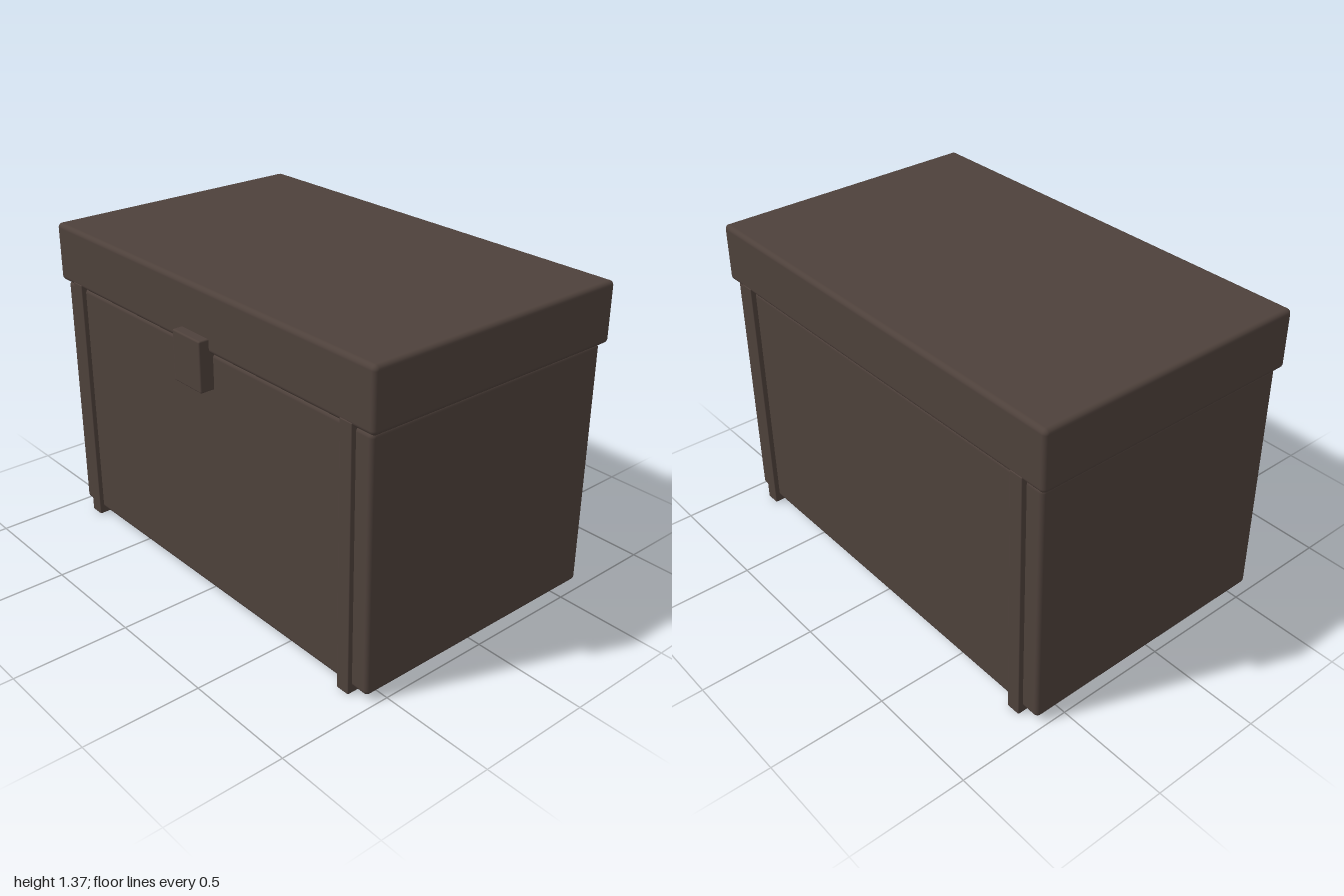
import * as THREE from 'three';
import { RoundedBoxGeometry } from 'three/addons/geometries/RoundedBoxGeometry.js';

export function createModel() {
  const group = new THREE.Group();
  const darkBrown = new THREE.MeshStandardMaterial({ color: 0x4e413b });
  darkBrown.name = 'darkBrown';

  // Soft-edged box given by its extents on each axis
  const block = (name, [x0, x1], [y0, y1], [z0, z1], radius) => {
    const mesh = new THREE.Mesh(
      new RoundedBoxGeometry(x1 - x0, y1 - y0, z1 - z0, 3, radius), darkBrown);
    mesh.position.set((x0 + x1) / 2, (y0 + y1) / 2, (z0 + z1) / 2);
    mesh.name = name;
    group.add(mesh);
  };

  // Chest body and overhanging lid
  block('body', [-0.975, 0.975], [0.026, 1.112], [-0.62, 0.58], 0.02);
  block('lid', [-1, 1], [1.114, 1.37], [-0.64, 0.598], 0.02);

  // Bands wrapping the body front to back, also serving as feet
  for (const side of [-1, 1]) {
    const x = side * 0.862;
    block(side > 0 ? 'leftBand' : 'rightBand',
      [x - 0.032, x + 0.032], [0, 1.13], [-0.642, 0.6], 0.004);
  }

  // Front latch
  block('latch', [-0.088, 0.088], [0.96, 1.175], [0.56, 0.642], 0.007);

  return group;
}
